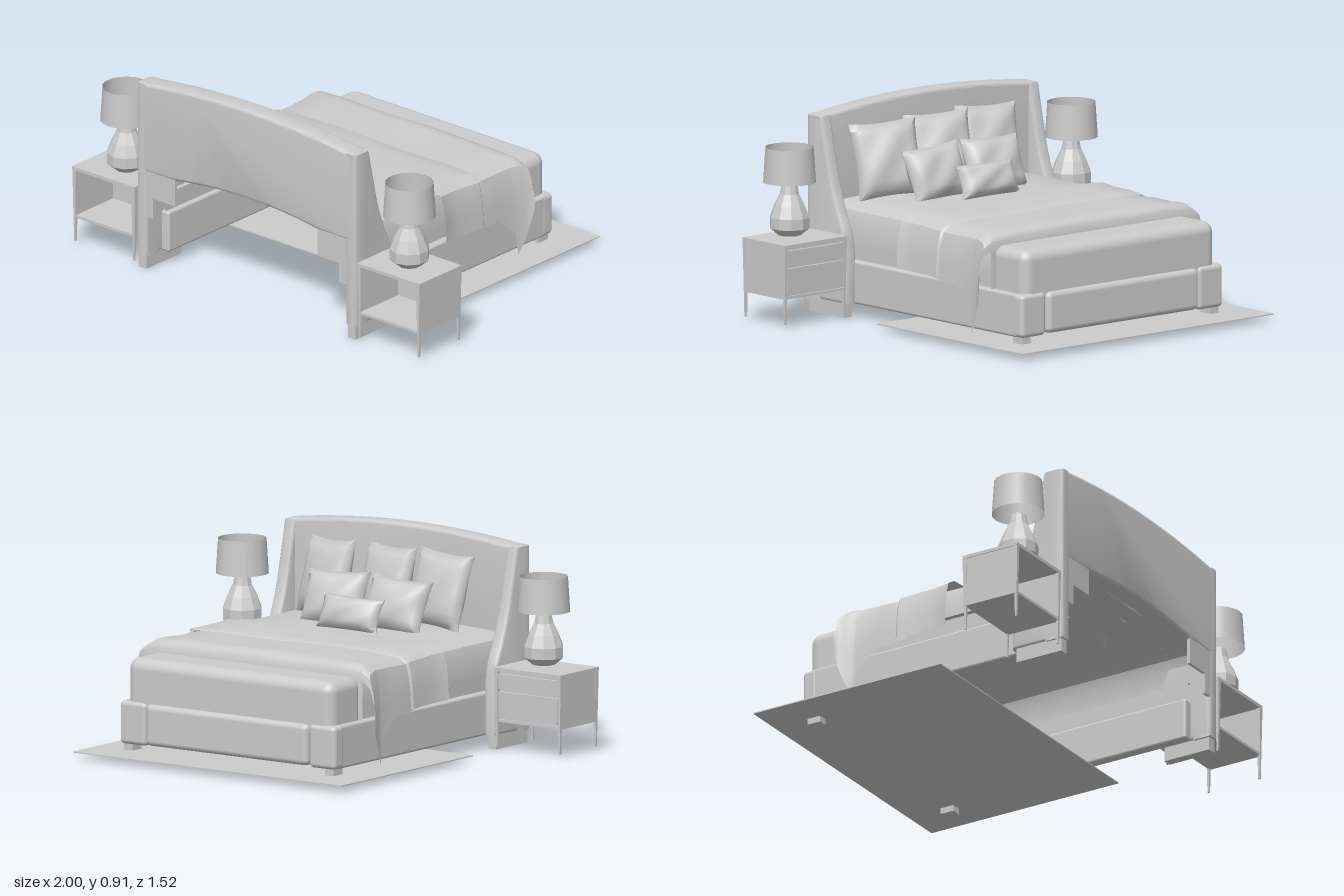
import * as THREE from 'three';
import { RoundedBoxGeometry } from 'three/addons/geometries/RoundedBoxGeometry.js';
import { toCreasedNormals } from 'three/addons/utils/BufferGeometryUtils.js';

const grey = new THREE.MeshStandardMaterial({ color: 0xcccccc });
const cloth = new THREE.MeshStandardMaterial({ color: 0xcccccc, side: THREE.DoubleSide });
const facet = new THREE.MeshStandardMaterial({ color: 0xcccccc, flatShading: true });

export function createModel() {
  const root = new THREE.Group();

  const add = (name, geo, mat = grey, parent = root) => {
    const m = new THREE.Mesh(geo, mat);
    m.name = name;
    parent.add(m);
    return m;
  };
  // Box from its limits; r > 0 rounds the edges
  const box = (name, x0, x1, y0, y1, z0, z1, r = 0, parent = root) => {
    const s = [x1 - x0, y1 - y0, z1 - z0];
    const g = r ? new RoundedBoxGeometry(...s, 3, r) : new THREE.BoxGeometry(...s);
    g.translate((x0 + x1) / 2, (y0 + y1) / 2, (z0 + z1) / 2);
    return add(name, g, grey, parent);
  };
  // Surface through rows of points; rows run along +z, points from +x to -x
  const loft = (rows) => {
    const n = rows[0].length, idx = [];
    for (let i = 0; i < rows.length - 1; i++)
      for (let j = 0; j < n - 1; j++) {
        const a = i * n + j, b = a + n;
        idx.push(a, a + 1, b, a + 1, b + 1, b);
      }
    const g = new THREE.BufferGeometry();
    g.setAttribute('position', new THREE.Float32BufferAttribute(rows.flat(2), 3));
    g.setIndex(idx);
    return toCreasedNormals(g, 0.6);
  };
  const mirrored = (half) => [...half, ...half.slice(0, -1).reverse().map(([x, y]) => [-x, y])];

  // Rug
  box('rug', -0.735, 0.715, 0.027, 0.032, -0.76, 0.2);

  // Headboard: arched panel on two posts
  const panel = new THREE.Shape();
  panel.moveTo(-0.615, 0.075);
  panel.lineTo(-0.615, 0.855);
  panel.quadraticCurveTo(0, 0.94, 0.615, 0.855);
  for (const [x, y] of [[0.615, 0.075], [0.585, 0.075], [0.585, 0.475], [0.42, 0.475]]) panel.lineTo(x, y);
  panel.quadraticCurveTo(0, 0.545, -0.42, 0.475);
  for (const [x, y] of [[-0.585, 0.475], [-0.585, 0.075]]) panel.lineTo(x, y);
  const panelGeo = new THREE.ExtrudeGeometry(panel, {
    depth: 0.065, bevelThickness: 0.015, bevelSize: 0.015, bevelSegments: 3, curveSegments: 16,
  });
  add('headboard', toCreasedNormals(panelGeo.translate(0, 0, 0.68), 0.7));

  // Wings flaring towards the bed
  const wing = new THREE.Shape();
  wing.moveTo(0.745, 0.078);
  wing.lineTo(0.745, 0.855);
  wing.lineTo(0.675, 0.855);
  wing.splineThru([[0.652, 0.75], [0.615, 0.59], [0.57, 0.46], [0.53, 0.37], [0.515, 0.28]].map((p) => new THREE.Vector2(...p)));
  wing.lineTo(0.515, 0.078);
  const wingGeo = toCreasedNormals(new THREE.ExtrudeGeometry(wing, {
    depth: 0.03, bevelThickness: 0.015, bevelSize: 0.015, bevelSegments: 3, curveSegments: 14,
  }), 0.7).rotateY(-Math.PI / 2);
  for (const s of [-1, 1]) {
    add('wing', wingGeo).position.x = s > 0 ? 0.615 : -0.585;
    // Stepped backing below the panel, side rail, corner of the footboard and feet
    const span = (a, b) => (s > 0 ? [a, b] : [-b, -a]);
    box('upperBacking', ...span(0.41, 0.59), 0.345, 0.48, 0.745, 0.758);
    box('lowerBacking', ...span(0.535, 0.59), 0.25, 0.345, 0.745, 0.758);
    box('sideRail', ...span(0.53, 0.58), 0.06, 0.25, -0.57, 0.66, 0.012);
    box('footCorner', ...span(0.44, 0.582), 0.06, 0.25, -0.605, -0.53, 0.02);
    box('footLeg', ...span(0.52, 0.565), 0, 0.065, -0.59, -0.525);
    box('headLeg', ...span(0.58, 0.622), 0, 0.065, 0.52, 0.75);
  }
  box('footboard', -0.437, 0.437, 0.065, 0.248, -0.615, -0.54, 0.025);

  // Mattress end and covered mattress, closed at the foot
  box('mattressEnd', -0.555, 0.555, 0.17, 0.44, -0.592, -0.36, 0.05);
  const cover = mirrored([[0.55, 0.24], [0.55, 0.33], [0.575, 0.33], [0.572, 0.42], [0.555, 0.465], [0.5, 0.492], [0.3, 0.5], [0, 0.502]]);
  const coverRows = [[-0.39, 0.45], [-0.37, 0.485], [-0.1, 0.485], [0.16, 0.5], [0.4, 0.502], [0.56, 0.502], [0.66, 0.5]].map(([z, top]) =>
    cover.map(([x, y]) => [x, Math.min(y, top), z]));
  const footRow = cover.map(([x]) => [x, 0.24, -0.392]);
  add('mattress', loft([footRow, ...coverRows]), cloth);

  // Draped throw: each row is [z, hem height, top height, half width]
  const drape = (name, rows) => add(name, loft(rows.map(([z, hem, top, w]) => {
    const mid = Math.max(hem, top - 0.09);
    const half = [[w + 0.005, hem], [w, (hem + mid) / 2], [w - 0.008, mid], [w - 0.025, top - 0.035],
      [w - 0.07, top - 0.008], [0.42, top], [0.25, top], [0.1, top], [0, top]];
    // Shallow creases on the top
    return mirrored(half).map(([x, y], j) =>
      [x, y + (j > 3 && j < 13 ? 0.003 * Math.sin(9 * x + 31 * z) : 0), z]);
  })), cloth);
  drape('throw', [
    [-0.402, 0.3, 0.43, 0.65], [-0.398, 0.25, 0.468, 0.647], [-0.385, 0.19, 0.485, 0.637], [-0.36, 0.125, 0.496, 0.63],
    [-0.325, 0.055, 0.498, 0.62], [-0.31, 0.16, 0.498, 0.615], [-0.2, 0.25, 0.496, 0.61], [-0.12, 0.25, 0.494, 0.61],
    [-0.05, 0.26, 0.494, 0.605],
  ]);
  drape('throwFold', [
    [-0.1, 0.265, 0.496, 0.618], [-0.09, 0.265, 0.501, 0.625], [-0.02, 0.267, 0.504, 0.62],
    [0.07, 0.268, 0.508, 0.618], [0.15, 0.27, 0.513, 0.625], [0.16, 0.27, 0.512, 0.63],
  ]);

  // Pillows: puffed in the middle, pinched between the corners
  const pillow = (name, [w, h, t], [x, y, z], tilt, yaw, roll) => {
    const g = new THREE.BoxGeometry(2, 2, 2, 12, 10, 1);
    const p = g.attributes.position;
    for (let i = 0; i < p.count; i++) {
      const u = p.getX(i), v = p.getY(i), side = p.getZ(i);
      const puff = Math.pow((1 - u * u) * (1 - v * v), 0.4);
      const crease = 1 + 0.1 * Math.sin(5 * u + 4 * v + x * 20);
      p.setXYZ(i, (u * w / 2) * (1 - 0.07 * (1 - v * v)), (v * h / 2) * (1 - 0.07 * (1 - u * u)),
        side * (0.003 + (t / 2) * puff * crease));
    }
    const m = add(name, toCreasedNormals(g, 0.9));
    m.position.set(x, y, z);
    m.rotation.set(tilt, yaw, roll, 'YXZ');
  };
  for (const [x, z, yaw, roll] of [[-0.27, 0.585, -0.12, 0.04], [0.015, 0.58, -0.25, -0.03], [0.33, 0.57, -0.3, -0.05]])
    pillow('backPillow', [0.32, 0.34, 0.11], [x, 0.66, z], 0.28, yaw, roll);
  for (const [x, roll] of [[-0.155, 0.04], [0.175, -0.05]])
    pillow('middlePillow', [0.325, 0.245, 0.12], [x, 0.602, 0.422], 0.4, 0, roll);
  pillow('frontPillow', [0.325, 0.155, 0.1], [-0.005, 0.568, 0.292], 0.4, 0, 0.01);

  // Nightstands, with the drawers facing the foot of the bed, and lamps
  const lampProfile = [[0, 0.375], [0.05, 0.378], [0.088, 0.41], [0.088, 0.458], [0.068, 0.51], [0.043, 0.56], [0.034, 0.605], [0, 0.615]];
  const lampGeo = new THREE.LatheGeometry(lampProfile.map((p) => new THREE.Vector2(...p)), 10);
  const shadeGeo = new THREE.CylinderGeometry(0.106, 0.116, 0.154, 18, 1, true);
  for (const [x, lampX] of [[-0.82, -0.793], [0.82, 0.835]]) {
    const stand = new THREE.Group();
    stand.name = 'nightstand';
    stand.position.set(x, 0, 0.62);
    root.add(stand);
    box('top', -0.18, 0.18, 0.355, 0.37, -0.14, 0.14, 0, stand);
    box('floor', -0.17, 0.17, 0.13, 0.142, -0.13, 0.135, 0, stand);
    box('drawerBack', -0.165, 0.165, 0.14, 0.357, -0.122, -0.114, 0, stand);
    box('upperDrawer', -0.158, 0.158, 0.277, 0.343, -0.136, -0.12, 0, stand);
    box('lowerDrawer', -0.158, 0.158, 0.147, 0.265, -0.136, -0.105, 0, stand);
    for (const a of [-1, 1]) {
      box('side', a * 0.17 - 0.006, a * 0.17 + 0.006, 0.13, 0.358, -0.135, 0.135, 0, stand);
      for (const b of [-1, 1]) {
        const leg = new THREE.CylinderGeometry(0.014, 0.006, 0.34, 4).rotateY(Math.PI / 4);
        add('leg', toCreasedNormals(leg, 0.5), grey, stand).position.set(a * 0.169, 0.19, b * 0.13);
      }
    }
    const lamp = new THREE.Group();
    lamp.name = 'lamp';
    lamp.position.set(lampX, 0, 0.637);
    root.add(lamp);
    add('lampBase', lampGeo, facet, lamp);
    add('lampShade', shadeGeo, cloth, lamp).position.y = 0.689;
  }
  return root;
}
